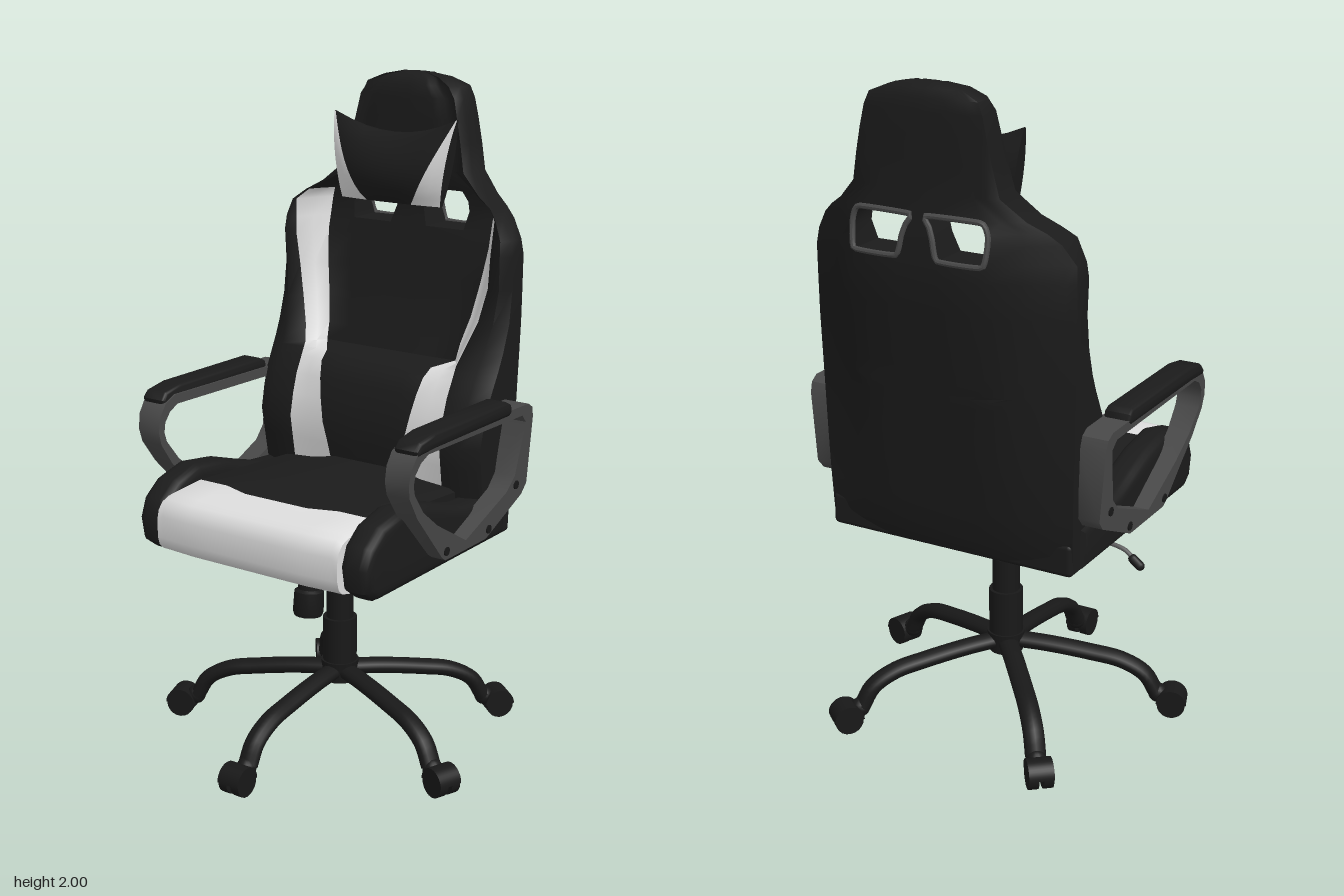
import * as THREE from 'three';
import { toCreasedNormals } from 'three/addons/utils/BufferGeometryUtils.js';
import { RoundedBoxGeometry } from 'three/addons/geometries/RoundedBoxGeometry.js';

const paint = (name, color) => Object.assign(new THREE.MeshStandardMaterial({ color }), { name });

// Piecewise linear lookup in [key, value] pairs
function at(table, k) {
  for (let i = 1; i < table.length; i++) {
    const [k0, v0] = table[i - 1], [k1, v1] = table[i];
    if (k <= k1) return v0 + (v1 - v0) * Math.max(0, (k - k0) / (k1 - k0));
  }
  return table[table.length - 1][1];
}

// Closed two-sided grid: point(i, j, front) gives corners, slot(i, j, side) gives a material index
function slab(nu, nv, point, slot, hole = () => false) {
  const lists = [[], []];
  const inside = (i, j) => i >= 0 && j >= 0 && i < nu && j < nv;
  const quad = (s, a, b, c, d) => lists[s].push(...a, ...b, ...c, ...a, ...c, ...d);
  for (let i = 0; i < nu; i++) for (let j = 0; j < nv; j++) {
    if (hole(i, j)) continue;
    const ring = [[i, j], [i + 1, j], [i + 1, j + 1], [i, j + 1]];
    const f = ring.map(([a, b]) => point(a, b, true)), r = ring.map(([a, b]) => point(a, b, false));
    quad(slot(i, j, 'front'), ...f);
    quad(slot(i, j, 'back'), r[3], r[2], r[1], r[0]);
    [[0, -1], [1, 0], [0, 1], [-1, 0]].forEach(([di, dj], e) => {
      const n = (e + 1) % 4;
      if (inside(i + di, j + dj) && !hole(i + di, j + dj)) return;
      quad(slot(i, j, 'edge'), f[e], r[e], r[n], f[n]);
    });
  }
  let g = new THREE.BufferGeometry();
  g.setAttribute('position', new THREE.Float32BufferAttribute(lists.flat(), 3));
  g = toCreasedNormals(g, 0.85);
  let start = 0;
  lists.forEach((l, s) => { if (l.length) g.addGroup(start, l.length / 3, s); start += l.length / 3; });
  return g;
}

// Outline of [z, y] points extruded along +x from x0
function sideExtrude(points, x0, depth, bevel = 0, holePoints) {
  const v = (list) => list.map(([z, y]) => new THREE.Vector2(-z, y));
  const shape = new THREE.Shape(v(points));
  if (holePoints) shape.holes.push(new THREE.Path(v(holePoints)));
  return new THREE.ExtrudeGeometry(shape, {
    depth: depth - 2 * bevel, bevelEnabled: bevel > 0, bevelThickness: bevel, bevelSize: bevel, bevelOffset: -bevel, bevelSegments: 4,
  }).rotateY(Math.PI / 2).translate(x0 + bevel, 0, 0);
}

// Copy reflected across x = 0, with the corner order restored
function mirrored(geometry) {
  const g = geometry.index ? geometry.toNonIndexed() : geometry.clone();
  g.scale(-1, 1, 1);
  const p = g.attributes.position.array;
  for (let i = 0; i < p.length; i += 9) for (let k = 0; k < 3; k++) [p[i + 3 + k], p[i + 6 + k]] = [p[i + 6 + k], p[i + 3 + k]];
  g.deleteAttribute('uv');
  g.clearGroups();
  return toCreasedNormals(g, 0.7);
}

export function createModel() {
  const chair = new THREE.Group();
  chair.name = 'officeChair';
  const leather = paint('black leather', 0x1b1b1b), white = paint('white leather', 0xdcdcdc);
  const plastic = paint('black plastic', 0x181818), frame = paint('grey frame', 0x484848), steel = paint('steel', 0x5c5c5c);
  const covers = [leather, white];
  const add = (name, geometry, material, parent = chair) => {
    const m = new THREE.Mesh(geometry, material);
    m.name = name;
    parent.add(m);
    return m;
  };
  const addPair = (name, geometry, material) => {
    add(name + 'Left', mirrored(mirrored(geometry)), material);
    add(name + 'Right', mirrored(geometry), material);
  };
  const cyl = (name, rTop, rBottom, y0, y1, x, z, material, sides = 24) =>
    add(name, new THREE.CylinderGeometry(rTop, rBottom, y1 - y0, sides).translate(x, (y0 + y1) / 2, z), material);

  // Backrest with side wings, lumbar bulge, headrest and two openings
  const ys = [0.655, 0.7, 0.8, 0.88, 0.95, 1.02, 1.08, 1.13, 1.155, 1.17, 1.22, 1.3, 1.4, 1.5, 1.545, 1.6, 1.63, 1.66, 1.72, 1.8, 1.87, 1.93, 1.965, 1.988, 2];
  const half = [[0.7, 0.395], [0.9, 0.4], [1.3, 0.41], [1.5, 0.41], [1.545, 0.405], [1.6, 0.37], [1.63, 0.335], [1.66, 0.288], [1.72, 0.225], [1.8, 0.208], [1.87, 0.193], [1.93, 0.18], [1.965, 0.165], [1.988, 0.11], [2, 0.05]];
  const inner = [[0.7, 0.11], [0.85, 0.13], [1.155, 0.19], [1.17, 0.235], [1.22, 0.24], [1.35, 0.27], [1.5, 0.29], [1.6, 0.29], [1.63, 0.28], [1.66, 0.23], [1.72, 0.16], [1.93, 0.11], [1.988, 0.06], [2, 0.025]];
  const outer = [[0.7, 0.27], [1.17, 0.275], [1.22, 0.29], [1.35, 0.335], [1.5, 0.35], [1.6, 0.355], [1.63, 0.325], [1.66, 0.268], [1.72, 0.195], [1.93, 0.145], [1.988, 0.085], [2, 0.035]];
  const rear = [[0.655, -0.378], [0.7, -0.395], [0.9, -0.428], [1.1, -0.458], [1.3, -0.49], [1.5, -0.52], [1.6, -0.513], [1.72, -0.498], [1.93, -0.49], [1.965, -0.487], [1.988, -0.475], [2, -0.455]];
  const wing = [[0.655, -0.2], [0.82, -0.17], [0.95, -0.15], [1.06, -0.175], [1.2, -0.25], [1.35, -0.3], [1.5, -0.29], [1.6, -0.3], [1.63, -0.325], [1.68, -0.355], [1.75, -0.37], [1.93, -0.382], [1.965, -0.387], [1.988, -0.4], [2, -0.42]];
  const middle = [[0.655, -0.2], [0.82, -0.17], [0.95, -0.155], [1.06, -0.17], [1.13, -0.2], [1.155, -0.235], [1.17, -0.3], [1.3, -0.345], [1.5, -0.385], [1.6, -0.41], [1.66, -0.4], [1.72, -0.372], [1.93, -0.378], [1.965, -0.383], [1.988, -0.397], [2, -0.42]];
  const bend = [[0.655, 0.01], [0.8, 0.025], [1, 0.05], [1.4, 0.1], [1.55, 0.12]];
  const openingInner = [[1.545, 0.22], [1.66, 0.1]], openingOuter = [[1.545, 0.68], [1.63, 0.74], [1.66, 0.82]];
  const backPoint = (i, j, front) => {
    const y = ys[j], k = Math.abs(i - 7), s = Math.sign(i - 7);
    const a = at(inner, y), b = at(outer, y), w = at(half, y), zw = at(wing, y), zm = at(middle, y);
    const x = [0, at(openingInner, y) * a, at(openingOuter, y) * a, a, (a + b) / 2, b, b + (w - b) * 0.6, w][k];
    const zf = [zm, zm, zm, zm - 0.003, (zm + zw) / 2 - 0.008, zw - 0.008, zw, zw - 0.03][k];
    const zr = at(rear, y) + at(bend, y) * Math.max(0, (x - 0.2) / 0.2) + 0.015 * (x / w) ** 2;
    return [s * x, y, front ? zf : zr];
  };
  const isOpening = (i, j) => ys[j] > 1.54 && ys[j] < 1.65 && (i === 5 || i === 8);
  const backSlot = (i, j, side) => (side === 'front' && ys[j] < 1.62 && [2, 3, 10, 11].includes(i) ? 1 : 0);
  add('backrest', slab(14, ys.length - 1, backPoint, backSlot, isOpening), covers);

  // Grey trim around the openings, on the rear face
  const trimPath = new THREE.CatmullRomCurve3([[8, 14], [9, 14], [9, 15], [9, 16], [9, 17], [8, 17], [8, 16], [8, 15]]
    .map(([i, j]) => new THREE.Vector3(...backPoint(i, j, false))), true, 'catmullrom', 0.2);
  addPair('openingTrim', new THREE.TubeGeometry(trimPath, 48, 0.008, 8, true), frame);

  // Neck pillow with raised corners and white front ends
  const pillowPoint = (i, j, front) => {
    const t = j / 10, k = (i - 6) / 6, c = 0.45 + 0.53 * t ** 0.8;
    const s = Math.abs(k) <= 2 / 3 ? k * 1.5 * c : Math.sign(k) * (c + (1 - c) * (Math.abs(k) - 2 / 3) * 3);
    const puff = Math.sin(Math.PI * Math.min(1, t * 0.92 + 0.06)) ** 0.7 * Math.sqrt(1 - 0.85 * s * s) * 0.06;
    const y = 1.625 + t * (0.205 + 0.05 * s * s);
    return [s * (0.175 + 0.042 * t), y, -0.305 - 0.015 * t + (front ? puff : -puff)];
  };
  add('neckPillow', slab(12, 10, pillowPoint, (i, j, side) => (side === 'front' && (i < 2 || i > 9) ? 1 : 0)), covers);

  // Seat cushion: rows run from the white front roll to the rear
  const seatX = [0, 0.11, 0.2, 0.3, 0.32], seatDrop = [0, 0, 0.02, 0.028, 0.036];
  const seatRows = [[0.435, 0.775, 0.71], [0.428, 0.802, 0.685], [0.41, 0.822, 0.668], [0.38, 0.832, 0.66], [0.33, 0.836, 0.655], [0.25, 0.842, 0.65], [0.12, 0.862, 0.65], [-0.37, 0.83, 0.65]];
  const seatPoint = (i, j, front) => {
    const k = Math.abs(i - 4), x = seatX[k], [z, top, bottom] = seatRows[j];
    const notch = j === 5 && k < 2 ? 0.03 : 0, drop = j > 5 ? seatDrop[k] : k === 4 ? 0.01 : 0;
    return [Math.sign(i - 4) * x, front ? top - drop : bottom, z + notch - (k > 2 && j < 4 ? 0.008 : 0)];
  };
  add('seatCushion', slab(8, 7, seatPoint, (i, j) => (j < 5 ? 1 : 0)), covers);
  add('seatBase', new RoundedBoxGeometry(0.79, 0.1, 0.72, 3, 0.015).translate(0, 0.695, -0.015), leather);
  addPair('seatBolster', sideExtrude([[0.36, 0.65], [0.4, 0.68], [0.413, 0.75], [0.39, 0.81], [0.33, 0.855], [0.23, 0.88], [0.1, 0.862], [0, 0.83], [-0.1, 0.8], [-0.33, 0.78], [-0.33, 0.65]], 0.31, 0.1, 0.03), leather);

  // Armrests: flat band frame, pad and bolts
  const band = sideExtrude(
    [[-0.345, 0.82], [-0.345, 1.03], [-0.335, 1.06], [-0.31, 1.075], [0.24, 1.085], [0.285, 1.065], [0.31, 1.03], [0.318, 0.985], [0.308, 0.945], [0.26, 0.875], [0.11, 0.715], [0.09, 0.702], [-0.13, 0.702], [-0.32, 0.79]], 0, 1, 0,
    [[-0.27, 0.86], [-0.305, 1.02], [-0.28, 1.045], [0.23, 1.055], [0.265, 1.038], [0.288, 1.01], [0.293, 0.98], [0.283, 0.95], [0.23, 0.885], [0.15, 0.825], [-0.015, 0.732], [-0.23, 0.82]]);
  const bp = band.attributes.position;
  for (let i = 0; i < bp.count; i++) bp.setX(i, 0.4 + bp.getX(i) * (0.056 + (bp.getY(i) - 0.7) * 0.075));
  addPair('armFrame', band, frame);
  const pad = sideExtrude([[0.285, 1.058], [0.29, 1.075], [0.27, 1.096], [0.2, 1.108], [-0.19, 1.106], [-0.212, 1.095], [-0.217, 1.07], [-0.2, 1.06], [0.2, 1.062]], 0.405, 0.083, 0.014);
  addPair('armPad', pad, leather);
  for (const [z, y] of [[0.09, 0.73], [-0.14, 0.73], [-0.28, 0.83]]) {
    addPair('armBolt', new THREE.CylinderGeometry(0.013, 0.013, 0.012, 12).rotateZ(Math.PI / 2).translate(0.454 + (y - 0.7) * 0.075, y, z), plastic);
  }

  // Tilt mechanism, lever and tension knob
  add('underPlate', sideExtrude([[0.2, 0.655], [0.15, 0.622], [-0.22, 0.622], [-0.3, 0.655]], -0.18, 0.36, 0.006), plastic);
  add('mountPlate', new THREE.BoxGeometry(0.13, 0.02, 0.36).translate(0, 0.612, -0.02), steel);
  add('mechanismBody', sideExtrude([[0.07, 0.605], [0.02, 0.568], [-0.01, 0.548], [-0.07, 0.548], [-0.1, 0.58], [-0.13, 0.605]], -0.05, 0.1, 0.006), steel);
  const knob = new THREE.LatheGeometry([[0, 0], [0.042, 0], [0.046, 0.012], [0.044, 0.075], [0.034, 0.082], [0.034, 0.165], [0, 0.165]].map(([r, y]) => new THREE.Vector2(r, y)), 20);
  add('tensionKnob', toCreasedNormals(knob.rotateX(-0.08).translate(0, 0.443, 0.125), 0.6), plastic);
  const leverPath = new THREE.CatmullRomCurve3([[-0.04, 0.588], [-0.2, 0.59], [-0.34, 0.59], [-0.385, 0.578], [-0.405, 0.56]].map(([x, y]) => new THREE.Vector3(x, y, 0)));
  add('lever', new THREE.TubeGeometry(leverPath, 24, 0.007, 8), steel);
  add('leverGrip', new THREE.CapsuleGeometry(0.014, 0.03, 4, 12).rotateZ(-0.9).translate(-0.417, 0.549, 0), plastic);

  // Gas lift column and hub
  const axisZ = -0.04;
  cyl('liftRod', 0.02, 0.02, 0.48, 0.56, 0, axisZ, steel);
  cyl('liftSleeve', 0.042, 0.042, 0.38, 0.49, 0, axisZ, plastic);
  cyl('liftCover', 0.052, 0.052, 0.23, 0.385, 0, axisZ, plastic);
  cyl('hub', 0.058, 0.052, 0.18, 0.245, 0, axisZ, plastic);

  // Five curved legs, wider than tall, with twin-wheel casters
  const legPath = new THREE.CatmullRomCurve3([[0.03, 0.214], [0.13, 0.206], [0.26, 0.188], [0.36, 0.168], [0.43, 0.128], [0.465, 0.07]].map(([z, y]) => new THREE.Vector3(0, y, z)));
  const legGeometry = new THREE.TubeGeometry(legPath, 28, 0.024, 12).scale(1.3, 1, 1);
  const stem = new THREE.SphereGeometry(0.03, 14, 10);
  const wheel = new THREE.CylinderGeometry(0.043, 0.043, 0.029, 20).rotateZ(Math.PI / 2);
  const hood = new THREE.CylinderGeometry(0.046, 0.046, 0.074, 20, 1, false, 0, Math.PI).rotateZ(Math.PI / 2);
  [0, 70, 140, 220, 290].forEach((degrees, i) => {
    const leg = new THREE.Group();
    leg.name = 'leg' + (i + 1);
    leg.position.z = axisZ;
    leg.rotation.y = THREE.MathUtils.degToRad(degrees);
    add('legTube', legGeometry, plastic, leg);
    for (const s of [-1, 1]) add('casterWheel', wheel, plastic, leg).position.set(s * 0.0215, 0.043, 0.515);
    add('casterHood', hood, plastic, leg).position.set(0, 0.044, 0.515);
    add('casterStem', stem, plastic, leg).position.set(0, 0.066, 0.472);
    chair.add(leg);
  });
  return chair;
}
